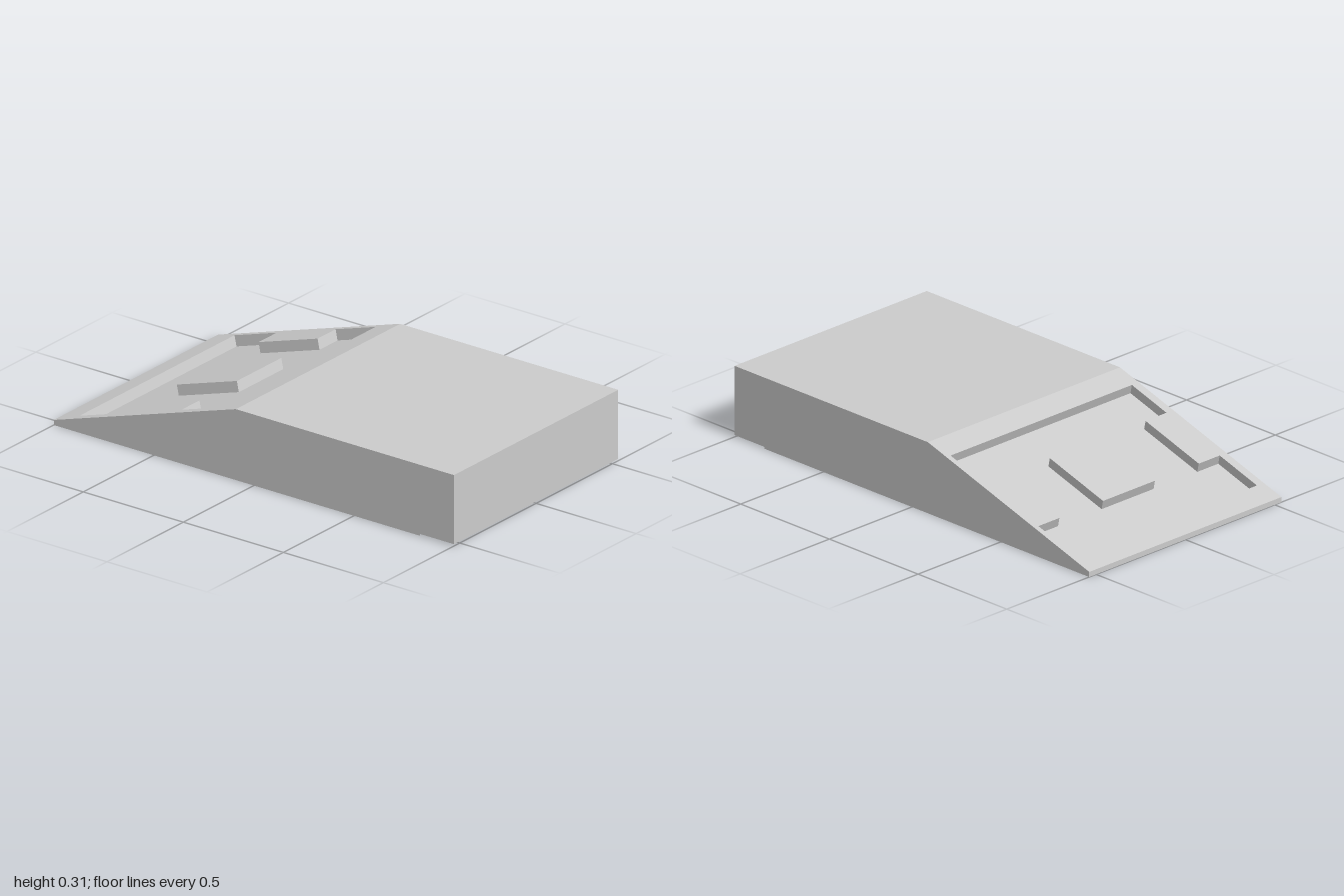
import * as THREE from 'three';

const HALF = 0.538;                 // half width (z)
const LOW = 0.022, TOP = 0.307;     // heights of the ramp's ends
const BEND = -0.09;                 // x where the ramp meets the deck
const SINK = [0.015, -0.042, 0.007]; // direction and depth of the recess

const rampY = (x) => LOW + (TOP - LOW) * (x + 1) / (BEND + 1);

// Recess outline with a notch on both sides, and the raised pad in its middle ([x, z])
const RECESS = [
  [-0.9, 0.5], [-0.69, 0.5], [-0.69, 0.383], [-0.39, 0.383], [-0.39, 0.5], [-0.195, 0.5],
  [-0.195, -0.515], [-0.395, -0.515], [-0.395, -0.397], [-0.69, -0.397], [-0.69, -0.515], [-0.9, -0.515],
];
const PAD = [[-0.69, 0.138], [-0.39, 0.138], [-0.39, -0.153], [-0.69, -0.153]];

export function createModel() {
  const group = new THREE.Group();
  const material = new THREE.MeshStandardMaterial({ color: 0xcccccc, side: THREE.DoubleSide, flatShading: true });

  const add = (name, geometry) => {
    const mesh = new THREE.Mesh(geometry, material);
    mesh.name = name;
    group.add(mesh);
    return mesh;
  };
  const points = (outline) => outline.map(([x, z]) => new THREE.Vector2(x, -z));

  // Flat panel lying on the ramp, optionally with a hole, optionally sunk
  const rampPanel = (name, outline, hole, sunk = 0) => {
    const shape = new THREE.Shape(points(outline));
    if (hole) shape.holes.push(new THREE.Path(points(hole)));
    const geometry = new THREE.ShapeGeometry(shape);
    const p = geometry.attributes.position;
    for (let i = 0; i < p.count; i++) {
      const x = p.getX(i), z = -p.getY(i);
      p.setXYZ(i, x + sunk * SINK[0], rampY(x) + sunk * SINK[1], z + sunk * SINK[2]);
    }
    geometry.computeVertexNormals();
    add(name, geometry);
  };

  // Strip of walls between an outline on the ramp and the sunken floor
  const rampWalls = (name, outline, inward) => {
    const verts = [];
    outline.forEach(([x, z], i) => {
      const [x2, z2] = outline[(i + 1) % outline.length];
      const a = [x, rampY(x), z], b = [x2, rampY(x2), z2];
      const c = b.map((v, k) => v + SINK[k]), d = a.map((v, k) => v + SINK[k]);
      const quad = inward ? [a, b, c, a, c, d] : [a, c, b, a, d, c];
      verts.push(...quad.flat());
    });
    const geometry = new THREE.BufferGeometry();
    geometry.setAttribute('position', new THREE.Float32BufferAttribute(verts, 3));
    geometry.computeVertexNormals();
    add(name, geometry);
  };

  // Ramp with its recess and pad
  const ramp = [[-1, HALF], [BEND, HALF], [BEND, -HALF], [-1, -HALF]];
  rampPanel('ramp', ramp, RECESS);
  rampPanel('recessFloor', RECESS, PAD, 1);
  rampPanel('pad', PAD);
  rampWalls('recessWalls', RECESS, true);
  rampWalls('padWalls', PAD, false);

  // Flat deck
  const deck = add('deck', new THREE.PlaneGeometry(1 - BEND, 2 * HALF));
  deck.rotation.x = -Math.PI / 2;
  deck.position.set((1 + BEND) / 2, TOP, 0);

  // Side walls
  const side = new THREE.Shape([
    [-1, 0], [0.83, 0], [0.83, 0.008], [1, 0.008], [1, TOP], [BEND, TOP], [-1, LOW],
  ].map(([x, y]) => new THREE.Vector2(x, y)));
  for (const s of [1, -1]) {
    const geometry = new THREE.ShapeGeometry(side);
    if (s < 0) geometry.index.array.reverse();
    geometry.translate(0, 0, s * HALF);
    geometry.computeVertexNormals();
    add(s > 0 ? 'frontWall' : 'backWall', geometry);
  }

  // End walls; the underside stays open
  for (const [name, x, y0, y1] of [['tallEnd', 1, 0.008, TOP], ['lowEnd', -1, 0, LOW]]) {
    const end = add(name, new THREE.PlaneGeometry(2 * HALF, y1 - y0));
    end.rotation.y = x * Math.PI / 2;
    end.position.set(x, (y0 + y1) / 2, 0);
  }
  return group;
}
